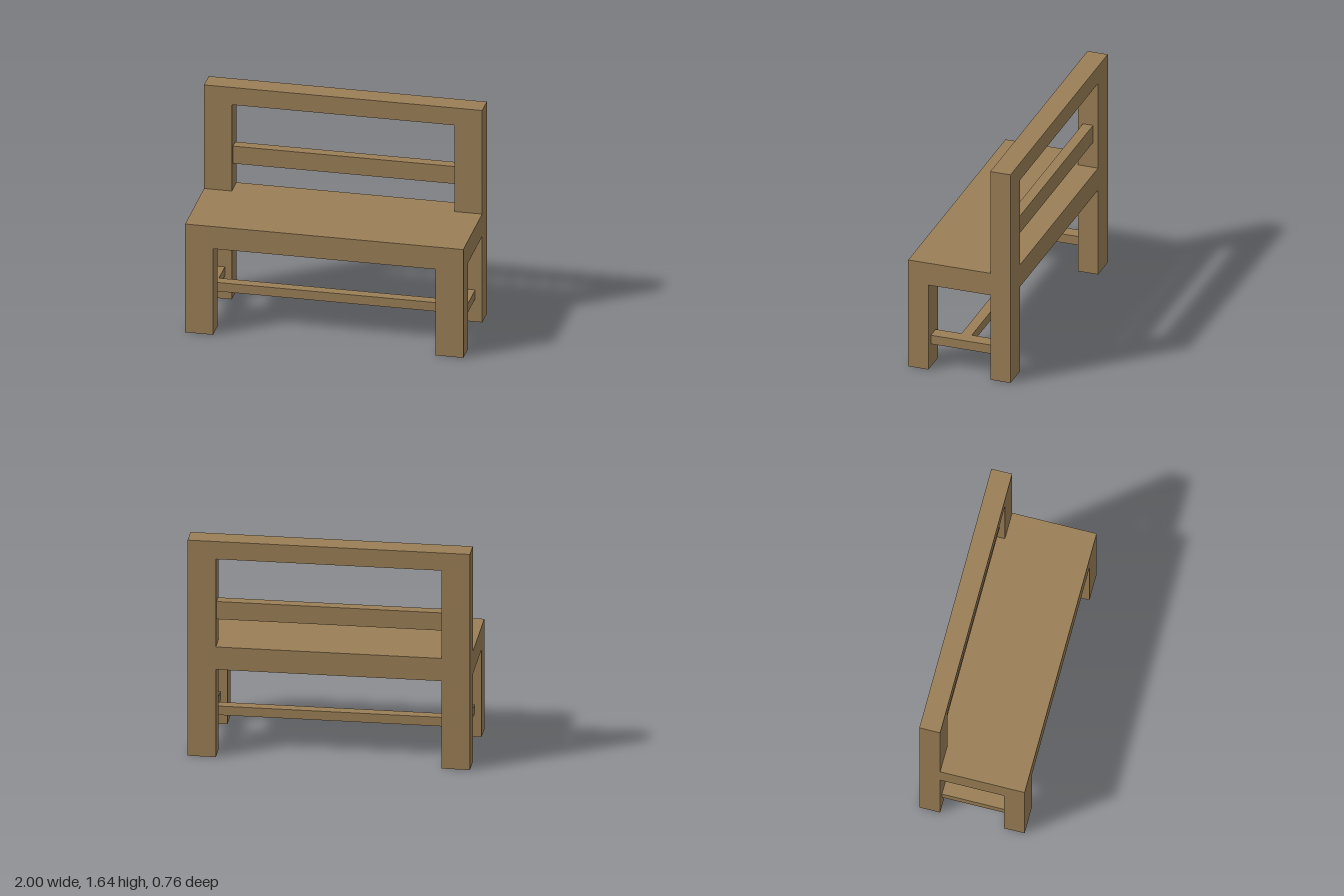
import * as THREE from 'three';

export function createModel() {
  const model = new THREE.Group();
  model.name = 'bench';

  const wood = new THREE.MeshStandardMaterial({ color: 0x9b7f56 });
  wood.name = 'wood';

  // Box given by its low and high limits on each axis
  function beam(name, [x0, x1], [y0, y1], [z0, z1]) {
    const mesh = new THREE.Mesh(new THREE.BoxGeometry(x1 - x0, y1 - y0, z1 - z0), wood);
    mesh.position.set((x0 + x1) / 2, (y0 + y1) / 2, (z0 + z1) / 2);
    mesh.name = name;
    model.add(mesh);
  }

  const depth = 0.382, inner = 0.231; // outer and inner z of the legs
  const seatBottom = 0.664, seatTop = 0.836, top = 1.636;
  const front = [inner, depth], back = [-depth, -inner];

  // Thick seat slab
  beam('seat', [-1, 1], [seatBottom, seatTop], [-depth, depth]);

  // Legs, back posts and side stretchers, mirrored left and right
  for (const [side, s] of [['left', 1], ['right', -1]]) {
    const span = (a, b) => (s > 0 ? [a, b] : [-b, -a]);
    beam(side + 'FrontLeg', span(0.8, 1), [0, seatBottom], front);
    beam(side + 'BackLeg', span(0.8, 1), [0, seatBottom], back);
    beam(side + 'BackPost', span(0.8, 1), [seatTop, top], back);
    beam(side + 'Stretcher', span(0.85, 0.95), [0.178, 0.246], [-inner, inner]);
  }

  // Long stretcher joining the two side stretchers
  beam('longStretcher', [-0.85, 0.85], [0.178, 0.246], [-0.038, 0.038]);

  // Backrest rails
  beam('topRail', [-0.8, 0.8], [1.502, top], back);
  beam('middleRail', [-0.8, 0.8], [1.032, 1.166], [-0.345, -0.269]);

  return model;
}
